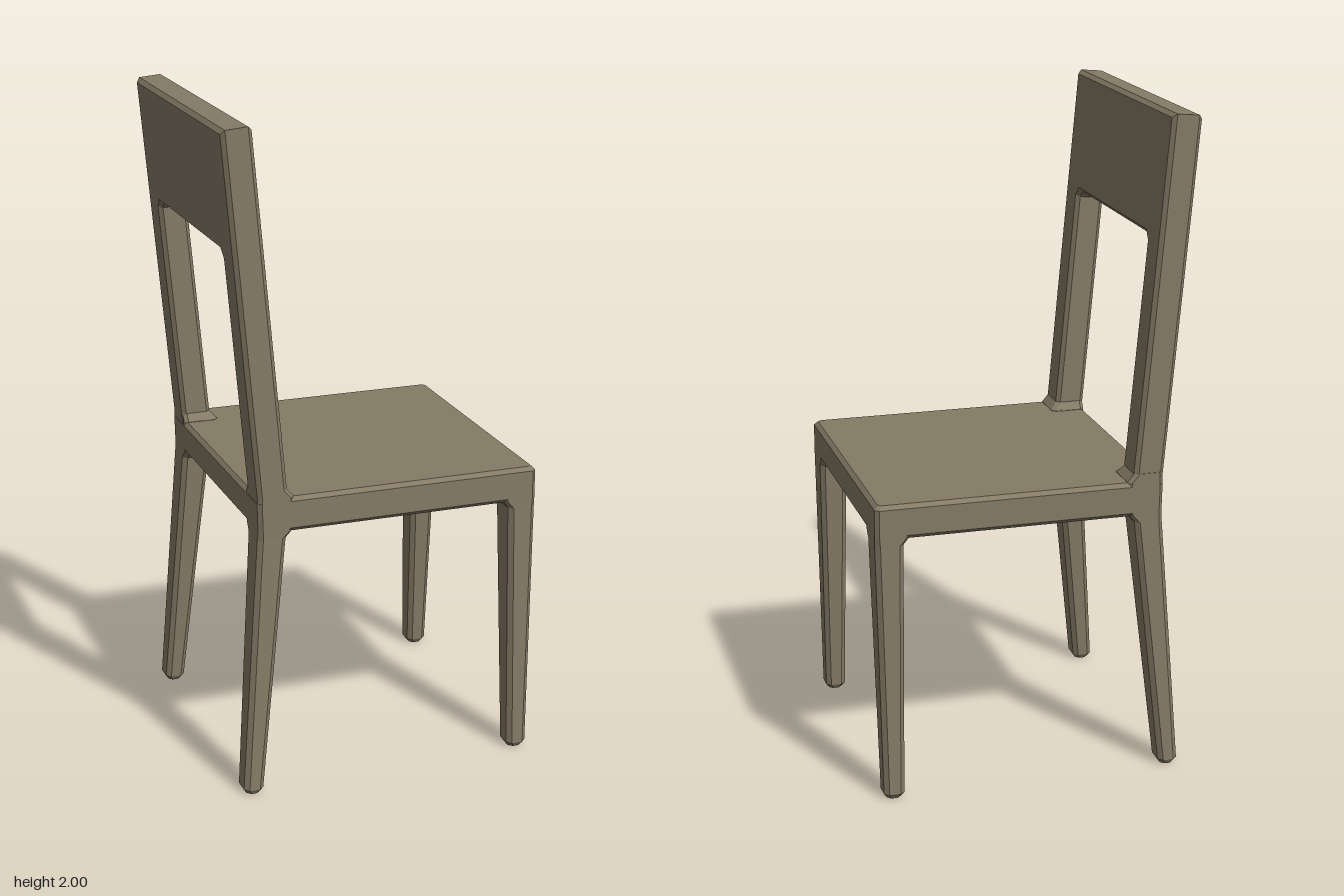
import * as THREE from 'three';

// Stack of chamfered rectangles: each section is [y, x0, x1, z0, z1, chamfer]
function loft(sections) {
  const rings = sections.map(([y, x0, x1, z0, z1, c]) => [
    [x1 - c, z0], [x1, z0 + c], [x1, z1 - c], [x1 - c, z1],
    [x0 + c, z1], [x0, z1 - c], [x0, z0 + c], [x0 + c, z0],
  ].map(([x, z]) => [x, y, z]));
  const pos = [];
  const tri = (a, b, c) => pos.push(...a, ...b, ...c);
  for (let r = 0; r < rings.length - 1; r++) {
    const lo = rings[r], hi = rings[r + 1];
    for (let i = 0; i < 8; i++) {
      const j = (i + 1) % 8;
      tri(lo[i], hi[i], lo[j]);
      tri(lo[j], hi[i], hi[j]);
    }
  }
  const bottom = rings[0], top = rings[rings.length - 1];
  for (let i = 1; i < 7; i++) {
    tri(bottom[0], bottom[i], bottom[i + 1]);
    tri(top[0], top[i + 1], top[i]);
  }
  const g = new THREE.BufferGeometry();
  g.setAttribute('position', new THREE.Float32BufferAttribute(pos, 3));
  g.computeVertexNormals();
  return g;
}

// Leaning back: an upside-down U with a deep top panel, bevelled and sheared
function backFrameGeometry() {
  const shape = new THREE.Shape([
    [-0.433, 0.89], [-0.303, 0.89], [-0.303, 0.915], [-0.323, 0.94],
    [-0.323, 1.615], [-0.305, 1.635], [0.315, 1.635], [0.333, 1.615],
    [0.333, 0.94], [0.313, 0.915], [0.313, 0.89], [0.443, 0.89],
    [0.443, 2], [-0.433, 2],
  ].map(([u, y]) => new THREE.Vector2(u, y)));
  const bevel = 0.012, depth = 0.09;
  const g = new THREE.ExtrudeGeometry(shape, {
    depth: depth - 2 * bevel, bevelEnabled: true, bevelSegments: 1,
    bevelThickness: bevel, bevelSize: bevel, bevelOffset: -bevel,
  });
  g.translate(0, 0, bevel);
  g.rotateY(Math.PI / 2);
  const p = g.attributes.position;
  for (let i = 0; i < p.count; i++) {
    const w = p.getX(i), y = p.getY(i);
    p.setXYZ(i, w - 0.39 - (y - 0.93) * 0.089, y + (w - depth) * 0.089, p.getZ(i));
  }
  g.computeVertexNormals();
  return g;
}

export function createModel() {
  const model = new THREE.Group();
  model.name = 'chair';
  const wood = new THREE.MeshStandardMaterial({ color: 0x857b66 });
  wood.name = 'grey brown wood';
  const add = (name, geometry) => {
    const mesh = new THREE.Mesh(geometry, wood);
    mesh.name = name;
    model.add(mesh);
  };

  // Seat slab
  add('seat', loft([
    [0.81, -0.378, 0.47, -0.433, 0.421, 0.01],
    [0.822, -0.389, 0.482, -0.445, 0.433, 0.012],
    [0.903, -0.391, 0.482, -0.445, 0.433, 0.012],
    [0.915, -0.38, 0.47, -0.433, 0.421, 0.01],
  ]));

  add('backFrame', backFrameGeometry());

  for (const s of [1, -1]) {
    const side = s > 0 ? 'left' : 'right';
    const span = (inner, outer) => (s > 0 ? [inner, outer] : [-outer, -inner]);
    const topOuter = s > 0 ? 0.433 : 0.445;
    const topInner = s > 0 ? 0.325 : 0.335;
    const footOuter = s > 0 ? 0.44 : 0.462;
    const footInner = s > 0 ? 0.368 : 0.39;

    // Front leg, flaring into the seat
    add(side + 'FrontLeg', loft([
      [0, 0.418, 0.46, ...span(footInner + 0.01, footOuter - 0.01), 0.012],
      [0.015, 0.408, 0.47, ...span(footInner, footOuter), 0.014],
      [0.79, 0.397, 0.482, ...span(topInner, topOuter), 0.014],
      [0.815, 0.378, 0.482, ...span(topInner - 0.02, topOuter), 0.012],
      [0.86, 0.378, 0.482, ...span(topInner - 0.02, topOuter), 0.012],
    ]));

    // Splayed back leg
    add(side + 'BackLeg', loft([
      [0, -0.44, -0.4, ...span(0.393, 0.452), 0.012],
      [0.015, -0.45, -0.39, ...span(0.383, 0.461), 0.014],
      [0.79, -0.391, -0.305, ...span(topInner, topOuter), 0.014],
      [0.815, -0.389, -0.283, ...span(topInner - 0.02, topOuter), 0.012],
      [0.93, -0.39, -0.3, ...span(topInner, topOuter), 0.012],
    ]));

    // Small sloped fillet where the back post meets the seat
    add(side + 'PostFillet', loft([
      [0.9, -0.389, -0.281, ...span(topInner - 0.02, topOuter), 0.012],
      [0.916, -0.389, -0.281, ...span(topInner - 0.02, topOuter), 0.012],
      [0.942, -0.389, -0.303, ...span(topInner, topOuter), 0.012],
    ]));
  }
  return model;
}
